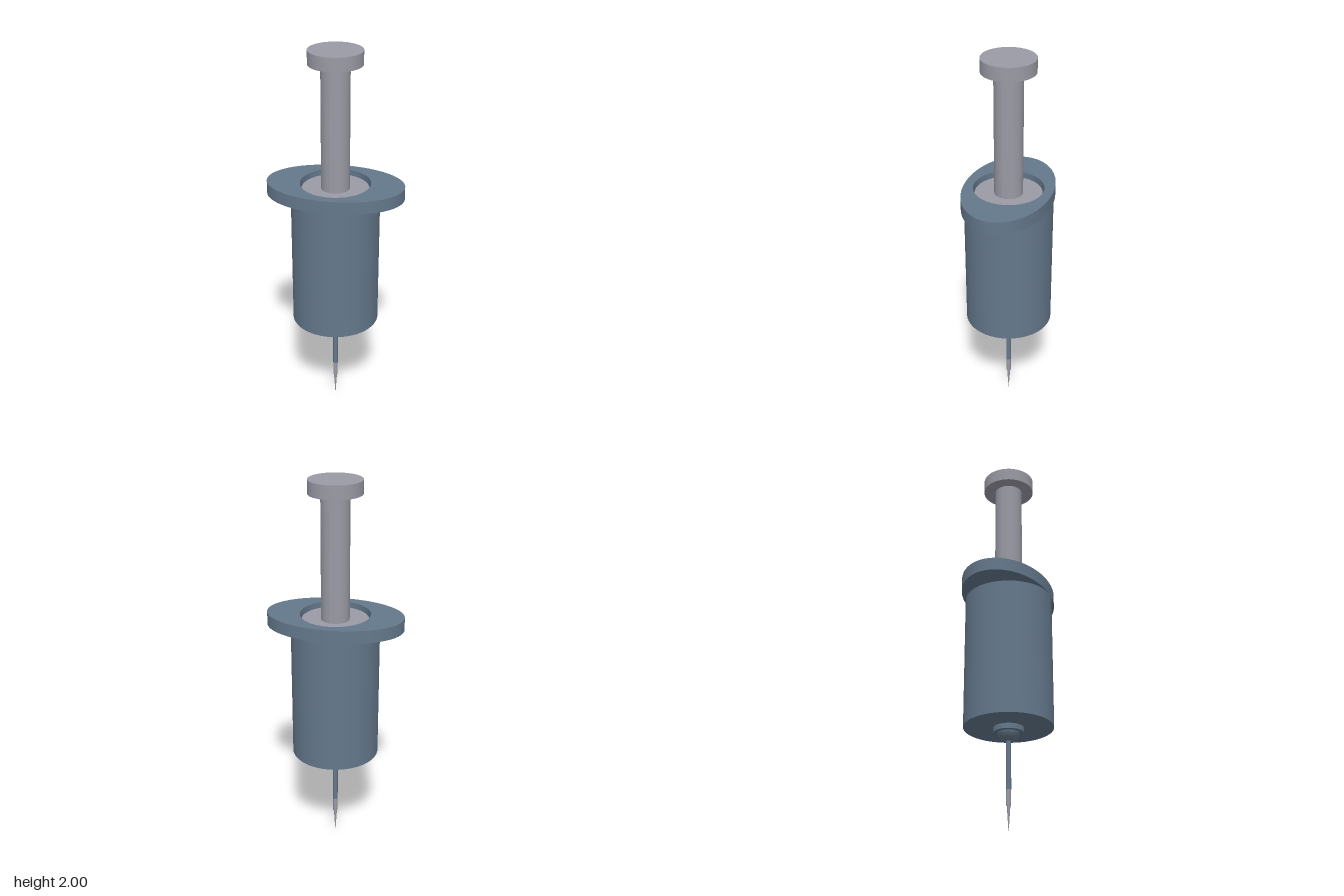
import * as THREE from 'three';
import { toCreasedNormals } from 'three/addons/utils/BufferGeometryUtils.js';

export function createModel() {
  const group = new THREE.Group();
  const blue = new THREE.MeshStandardMaterial({ color: 0x64788c });
  const grey = new THREE.MeshStandardMaterial({ color: 0x9a9aa5 });

  const add = (name, geometry, material) => {
    const mesh = new THREE.Mesh(toCreasedNormals(geometry, 0.6), material);
    mesh.name = name;
    group.add(mesh);
  };
  // Turned part: [radius, y] pairs, from the bottom up the outside
  const turned = (name, profile, material, sides = 64) =>
    add(name, new THREE.LatheGeometry(profile.map(([r, y]) => new THREE.Vector2(r, y)), sides), material);
  const disc = (r, y0, y1) => [[0, y0], [r, y0], [r, y1], [0, y1]];

  // Hollow barrel, open at the top
  turned('barrel', [[0, 0.53], [0.228, 0.53], [0.228, 1.245], [0.18, 1.245], [0.18, 0.58], [0, 0.58]], blue);

  // Oval finger flange with the bore through it
  const oval = new THREE.Shape();
  oval.absellipse(0, 0, 0.354, 0.228, 0, Math.PI * 2, false, 0);
  const bore = new THREE.Path();
  bore.absarc(0, 0, 0.18, 0, Math.PI * 2, true);
  oval.holes.push(bore);
  const flange = new THREE.ExtrudeGeometry(oval, { depth: 0.067, bevelEnabled: false, curveSegments: 64 });
  flange.rotateX(-Math.PI / 2).translate(0, 1.245, 0);
  add('fingerFlange', flange, blue);

  // Plunger: piston inside the barrel, rod and thumb rest
  turned('piston', disc(0.172, 1.22, 1.285), grey);
  turned('plungerRod', disc(0.073, 1.28, 1.935), grey, 48);
  turned('thumbRest', disc(0.136, 1.93, 2), grey);

  // Nozzle collar and rounded hub
  turned('collar', disc(0.078, 0.503, 0.535), blue, 48);
  const hub = new THREE.SphereGeometry(0.057, 32, 20);
  hub.translate(0, 0.515, 0);
  add('needleHub', hub, blue);

  // Needle shaft and stepped, tapering point
  turned('needleShaft', disc(0.013, 0.213, 0.48), blue, 24);
  turned('needleTip', [[0, 0], [0.004, 0.06], [0.009, 0.135], [0.0125, 0.135], [0.0125, 0.215], [0, 0.215]], grey, 24);

  return group;
}
